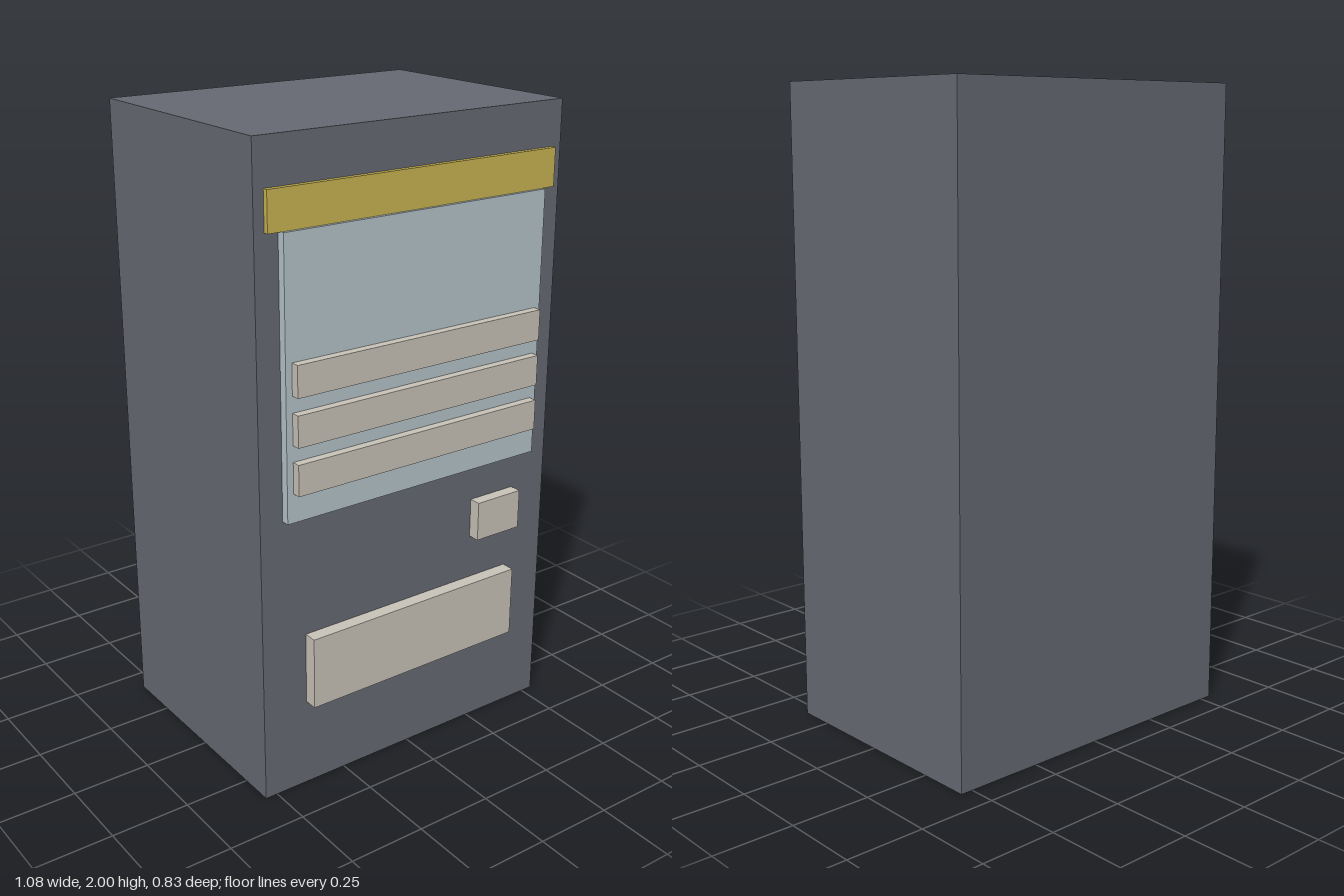
import * as THREE from 'three';

const material = (name, color) => {
  const m = new THREE.MeshStandardMaterial({ color });
  m.name = name;
  return m;
};

export function createModel() {
  const model = new THREE.Group();
  model.name = 'vendingMachine';

  const casing = material('slate grey', 0x666972);
  const glass = material('pale blue', 0xb6c4cb);
  const trim = material('warm cream', 0xc8c3b8);
  const yellow = material('yellow', 0xc8b452);

  // Box given by its limits on each axis
  const addBox = (name, mat, [x0, x1], [y0, y1], [z0, z1]) => {
    const mesh = new THREE.Mesh(new THREE.BoxGeometry(x1 - x0, y1 - y0, z1 - z0), mat);
    mesh.position.set((x0 + x1) / 2, (y0 + y1) / 2, (z0 + z1) / 2);
    mesh.name = name;
    model.add(mesh);
  };

  const front = 0.362;
  const glassFront = 0.388;

  // Cabinet
  addBox('cabinet', casing, [-0.54, 0.54], [0, 2], [-0.415, front]);

  // Header strip and display window below it
  addBox('headerStrip', yellow, [-0.507, 0.507], [1.745, 1.862], [front, 0.378]);
  addBox('displayWindow', glass, [-0.464, 0.464], [0.905, 1.745], [front, glassFront]);

  // Three product shelves across the window
  for (let i = 0; i < 3; i++) {
    const y = 0.995 + i * 0.146;
    addBox(`shelf${i + 1}`, trim, [-0.443, 0.443], [y, y + 0.096], [glassFront, 0.415]);
  }

  // Payment panel and pickup hatch
  addBox('paymentPanel', trim, [0.239, 0.408], [0.661, 0.788], [front, 0.4]);
  addBox('pickupHatch', trim, [-0.389, 0.389], [0.286, 0.517], [front, 0.405]);

  return model;
}
